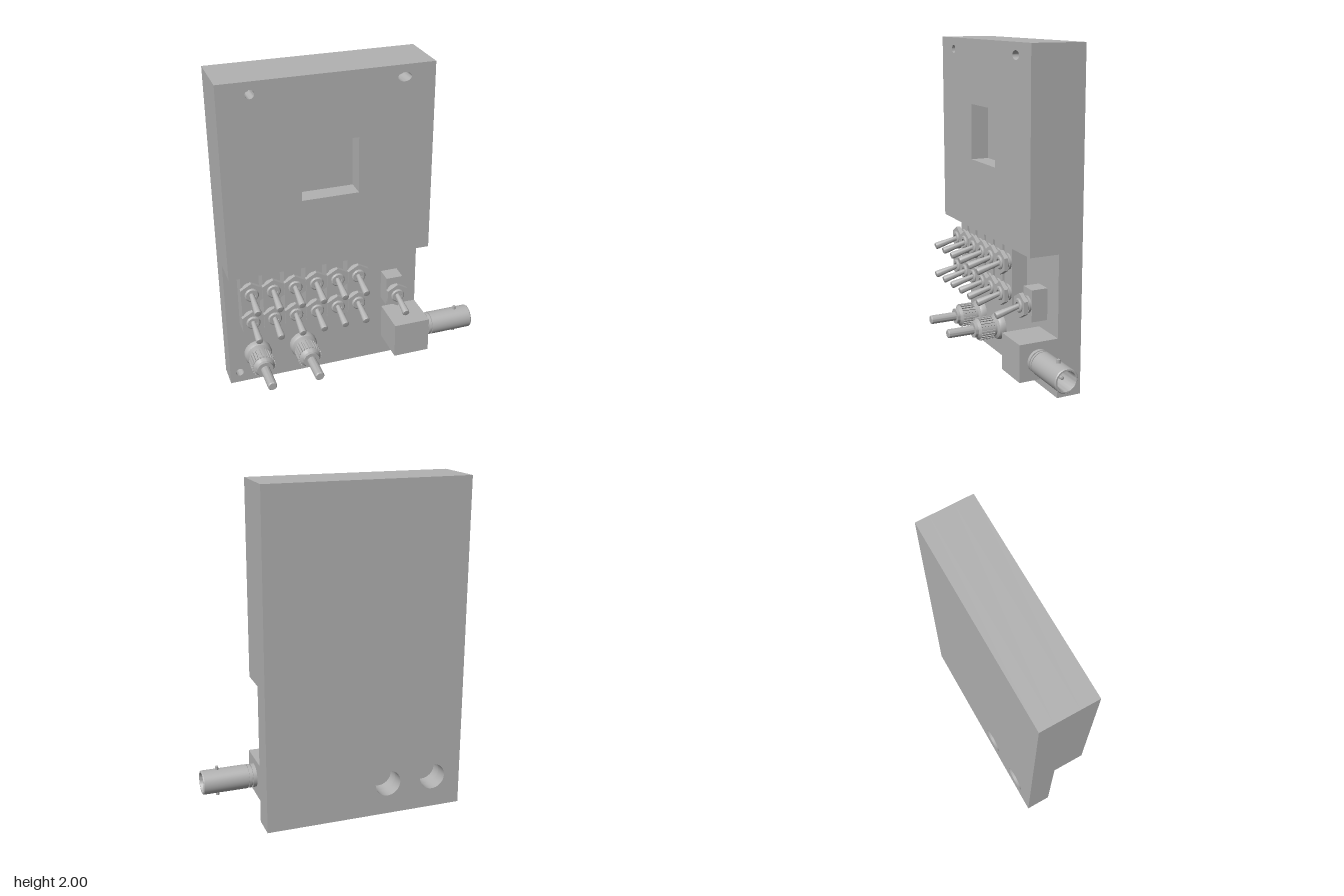
import * as THREE from 'three';
import { toCreasedNormals } from 'three/addons/utils/BufferGeometryUtils.js';

const grey = new THREE.MeshStandardMaterial({ color: 0xb2b2b2 });
grey.name = 'plain grey';

function add(parent, name, geometry, x = 0, y = 0, z = 0) {
  const mesh = new THREE.Mesh(toCreasedNormals(geometry, 0.5), grey);
  mesh.name = name;
  mesh.position.set(x, y, z);
  parent.add(mesh);
  return mesh;
}

const lathe = (points, segments = 32) =>
  new THREE.LatheGeometry(points.map(([r, h]) => new THREE.Vector2(r, h)), segments);

function rect(x0, y0, x1, y1, Type = THREE.Shape) {
  const s = new Type();
  s.moveTo(x0, y0);
  s.lineTo(x1, y0);
  s.lineTo(x1, y1);
  s.lineTo(x0, y1);
  s.closePath();
  return s;
}

const roundHole = (x, y, rx, ry = rx) =>
  new THREE.Path().absellipse(x, y, rx, ry, 0, Math.PI * 2);

// Slab between two depths, pierced by holes
function slab(parent, name, y0, y1, z0, z1, holes = []) {
  const shape = rect(-0.77, y0, 0.45, y1);
  shape.holes.push(...holes);
  const g = new THREE.ExtrudeGeometry(shape, { depth: z1 - z0, bevelEnabled: false, curveSegments: 16 });
  add(parent, name, g, 0, 0, z0);
}

// Toggle switch: body, threaded bushing, hex nut and tilted lever
function toggleSwitch(x, y) {
  const g = new THREE.Group();
  g.name = 'toggleSwitch';
  g.position.set(x, y, 0);
  add(g, 'switchBody', new THREE.BoxGeometry(0.103, 0.19, 0.1), 0, 0, -0.06);
  add(g, 'bushing', lathe([
    [0, -0.01], [0.05, -0.01], [0.05, 0.003], [0.042, 0.003], [0.042, 0.05],
    [0.035, 0.056], [0.022, 0.056], [0.022, 0.045], [0, 0.045],
  ], 24).rotateX(Math.PI / 2));
  add(g, 'hexNut', new THREE.CylinderGeometry(0.074, 0.074, 0.024, 6).rotateX(Math.PI / 2), 0, -0.001, 0.033);
  const from = new THREE.Vector3(0, 0, 0.035);
  const to = new THREE.Vector3(0, -0.041, 0.194);
  const along = to.clone().sub(from);
  const length = along.length();
  const lever = add(g, 'lever', lathe([
    [0, 0], [0.013, 0], [0.022, length - 0.012], [0.019, length - 0.002], [0, length],
  ], 20));
  lever.position.copy(from);
  lever.quaternion.setFromUnitVectors(new THREE.Vector3(0, 1, 0), along.normalize());
  return g;
}

// Terminal post with flange, knurled knob and pin
function terminal(x, y) {
  const g = new THREE.Group();
  g.name = 'terminalPost';
  g.position.set(x, y, 0);
  add(g, 'postBody', lathe([
    [0, -0.115], [0.085, -0.115], [0.085, -0.085], [0.078, -0.07], [0.06, -0.06],
    [0.06, -0.04], [0.067, -0.04], [0.067, 0.05], [0.05, 0.065], [0.05, 0.085], [0.028, 0.085],
    [0.028, 0.25], [0.023, 0.256], [0, 0.256],
  ]).rotateX(Math.PI / 2));
  for (let i = 0; i < 24; i++) {
    const a = (i / 24) * Math.PI * 2;
    const rib = add(g, 'knurlRib', new THREE.BoxGeometry(0.012, 0.009, 0.09),
      Math.cos(a) * 0.068, Math.sin(a) * 0.068, 0.005);
    rib.rotation.z = a;
  }
  return g;
}

export function createModel() {
  const model = new THREE.Group();
  model.name = 'switchBox';

  // Housing, layered so that recesses have real depth
  const posts = [-0.59, -0.3];
  const bores = () => posts.map((x) => roundHole(x, 0.197, 0.08));
  slab(model, 'backPlate', 0, 2, -0.26, -0.18, bores());
  slab(model, 'lowerPanel', 0, 0.85, -0.18, -0.11,
    [...bores(), roundHole(-0.71, 0.07, 0.025), roundHole(0.385, 0.07, 0.025)]);
  slab(model, 'upperCore', 0.85, 2, -0.18, -0.04);
  slab(model, 'upperFace', 0.85, 2, -0.04, 0.07, [
    rect(-0.327, 1.28, 0.008, 1.615, THREE.Path),
    roundHole(-0.59, 1.93, 0.025),
    roundHole(0.27, 1.93, 0.04, 0.026),
  ]);

  // Switch bank and single switch
  for (let i = 0; i < 6; i++) {
    for (const y of [0.525, 0.715]) model.add(toggleSwitch(-0.638 + i * 0.1306, y));
  }
  model.add(toggleSwitch(0.27, 0.525));

  // Terminal posts
  for (const x of posts) model.add(terminal(x, 0.197));

  // Side socket: block, hollow barrel with centre contact, locking studs
  const socket = new THREE.Group();
  socket.name = 'sideSocket';
  add(socket, 'socketBlock', new THREE.BoxGeometry(0.225, 0.223, 0.242), 0.3375, 0.2485, 0.01);
  add(socket, 'barrel', lathe([
    [0, 0], [0.07, 0], [0.07, 0.022], [0.061, 0.022], [0.061, 0.03], [0.07, 0.03], [0.07, 0.045],
    [0.064, 0.045], [0.064, 0.052], [0.071, 0.052], [0.071, 0.314], [0.067, 0.32], [0.058, 0.32],
    [0.054, 0.31], [0.054, 0.14], [0.03, 0.14], [0.03, 0.2], [0.01, 0.2], [0.01, 0.27], [0, 0.275],
  ], 40).rotateZ(-Math.PI / 2), 0.45, 0.248, 0.012);
  for (const side of [1, -1]) {
    add(socket, 'lockingStud', new THREE.CylinderGeometry(0.01, 0.01, 0.026, 16), 0.677, 0.248 + side * 0.078, 0.012);
  }
  model.add(socket);

  return model;
}
